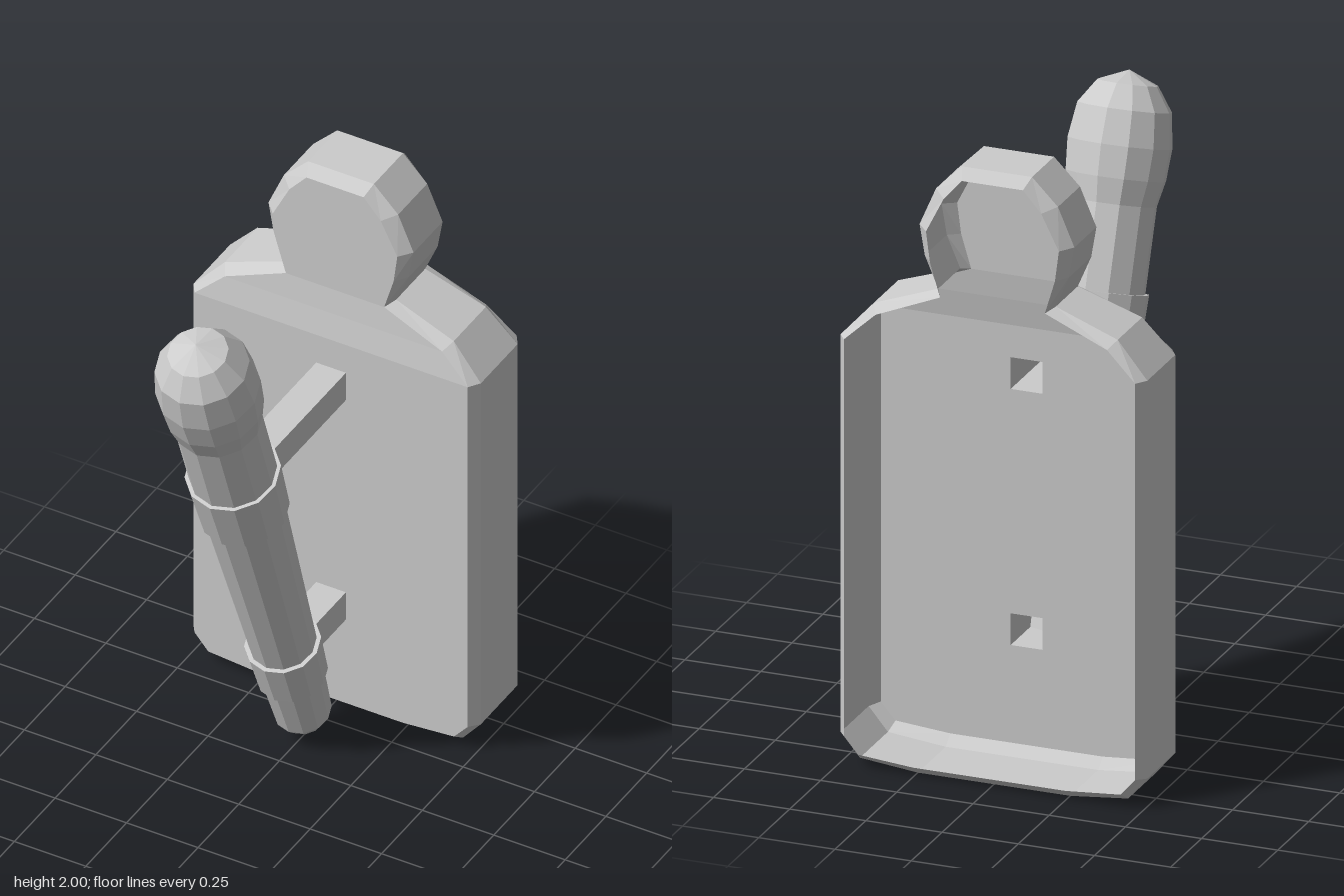
import * as THREE from 'three';

const grey = new THREE.MeshStandardMaterial({ color: 0xcccccc, flatShading: true });
const sheet = new THREE.MeshStandardMaterial({ color: 0xcccccc, flatShading: true, side: THREE.DoubleSide });

function part(name, geometry, material = grey) {
  const mesh = new THREE.Mesh(geometry, material);
  mesh.name = name;
  return mesh;
}

// Half outline of the wall plate, bottom to top: outer x, y, then bevel-inset x, y
const OUTLINE = [
  [0.25, 0, 0.25, 0.03], [0.44, 0.02, 0.43, 0.045], [0.503, 0.095, 0.478, 0.1],
  [0.503, 1.4, 0.478, 1.4], [0.4, 1.513, 0.38, 1.49], [0.193, 1.587, 0.172, 1.575],
  [0.237, 1.69, 0.205, 1.685], [0.254, 1.79, 0.218, 1.785],
  [0.2, 1.915, 0.16, 1.9], [0.115, 2, 0.1, 1.968],
];
const STRUTS = [
  { name: 'lowerStrut', y: 0.402, end: -0.06 },
  { name: 'upperStrut', y: 1.242, end: 0.14 },
];
const STRUT_HALF = 0.052;
const FRONT = -0.317, BACK = -0.617, BEVEL = 0.037;

// Hollow plate, open at the back, thinner towards the head
function plateShell() {
  const n = OUTLINE.length;
  const ring = (inset, back) => {
    const right = OUTLINE.map(([x, y, xi, yi]) => {
      const t = THREE.MathUtils.clamp((y - 1.4) / 0.187, 0, 1) * 0.024;
      const z = back ? BACK + t + (inset ? 0 : BEVEL) : FRONT - t - (inset ? 0 : BEVEL);
      return inset ? [xi, yi, z] : [x, y, z];
    });
    return [...right, ...right.map(([x, y, z]) => [-x, y, z]).reverse()];
  };
  const rings = [ring(true, false), ring(false, false), ring(false, true), ring(true, true)];
  const pos = [];
  const quad = (a, b, c, d) => pos.push(...a, ...b, ...c, ...a, ...c, ...d);

  // Front bevel, side wall and back lip
  for (let r = 0; r < 3; r++) {
    for (let i = 0; i < 2 * n; i++) {
      const j = (i + 1) % (2 * n);
      quad(rings[r][i], rings[r + 1][i], rings[r + 1][j], rings[r][j]);
    }
  }
  // Front face in horizontal strips; the tall strip is the pierced panel
  const f = rings[0];
  for (let i = 0; i < n - 1; i++) {
    if (i !== 2) quad(f[2 * n - 1 - i], f[i], f[i + 1], f[2 * n - 2 - i]);
  }
  const geometry = new THREE.BufferGeometry();
  geometry.setAttribute('position', new THREE.Float32BufferAttribute(pos, 3));
  geometry.computeVertexNormals();
  return geometry;
}

function rectangle(PathType, x, y0, y1) {
  return new PathType([[-x, y0], [x, y0], [x, y1], [-x, y1]].map(p => new THREE.Vector2(...p)));
}

// Flat panel with an opening behind each hollow strut
function frontPanel() {
  const shape = rectangle(THREE.Shape, 0.478, 0.1, 1.4);
  for (const { y } of STRUTS) {
    shape.holes.push(rectangle(THREE.Path, STRUT_HALF, y - STRUT_HALF, y + STRUT_HALF));
  }
  return new THREE.ShapeGeometry(shape).translate(0, 0, FRONT);
}

// Square open tube running forward from the plate
function strutTube({ y, end }) {
  const r = STRUT_HALF * Math.SQRT2;
  return new THREE.CylinderGeometry(r, r, end - FRONT, 4, 1, true)
    .rotateY(Math.PI / 4)
    .rotateX(Math.PI / 2)
    .translate(0, y, (end + FRONT) / 2);
}

// Round handle with a domed head and two collars, leaning forward
function buildTorch() {
  const torch = new THREE.Group();
  torch.name = 'torch';
  const profile = [
    [0, 0], [0.065, 0], [0.09, 0.04], [0.1, 0.24], [0.105, 0.4], [0.129, 1.12], [0.137, 1.31],
    [0.138, 1.58], [0.156, 1.66], [0.163, 1.76], [0.147, 1.87], [0.095, 1.945], [0, 1.985],
  ].map(p => new THREE.Vector2(...p));
  torch.add(part('torchHandle', new THREE.LatheGeometry(profile, 12)));
  const collars = [
    ['lowerCollar', 0.119, 0.112, 0.238, 0.402],
    ['upperCollar', 0.149, 0.142, 1.11, 1.31],
  ];
  for (const [name, top, bottom, y0, y1] of collars) {
    const geometry = new THREE.CylinderGeometry(top, bottom, y1 - y0, 12);
    torch.add(part(name, geometry.translate(0, (y0 + y1) / 2, 0)));
  }
  torch.position.set(0, 0.065, -0.155);
  torch.rotation.x = THREE.MathUtils.degToRad(19.7);
  return torch;
}

export function createModel() {
  const model = new THREE.Group();
  model.name = 'wallTorch';

  const plate = new THREE.Group();
  plate.name = 'wallPlate';
  plate.add(part('plateShell', plateShell(), sheet), part('frontPanel', frontPanel(), sheet));
  model.add(plate);

  for (const strut of STRUTS) model.add(part(strut.name, strutTube(strut), sheet));
  model.add(buildTorch());
  return model;
}
